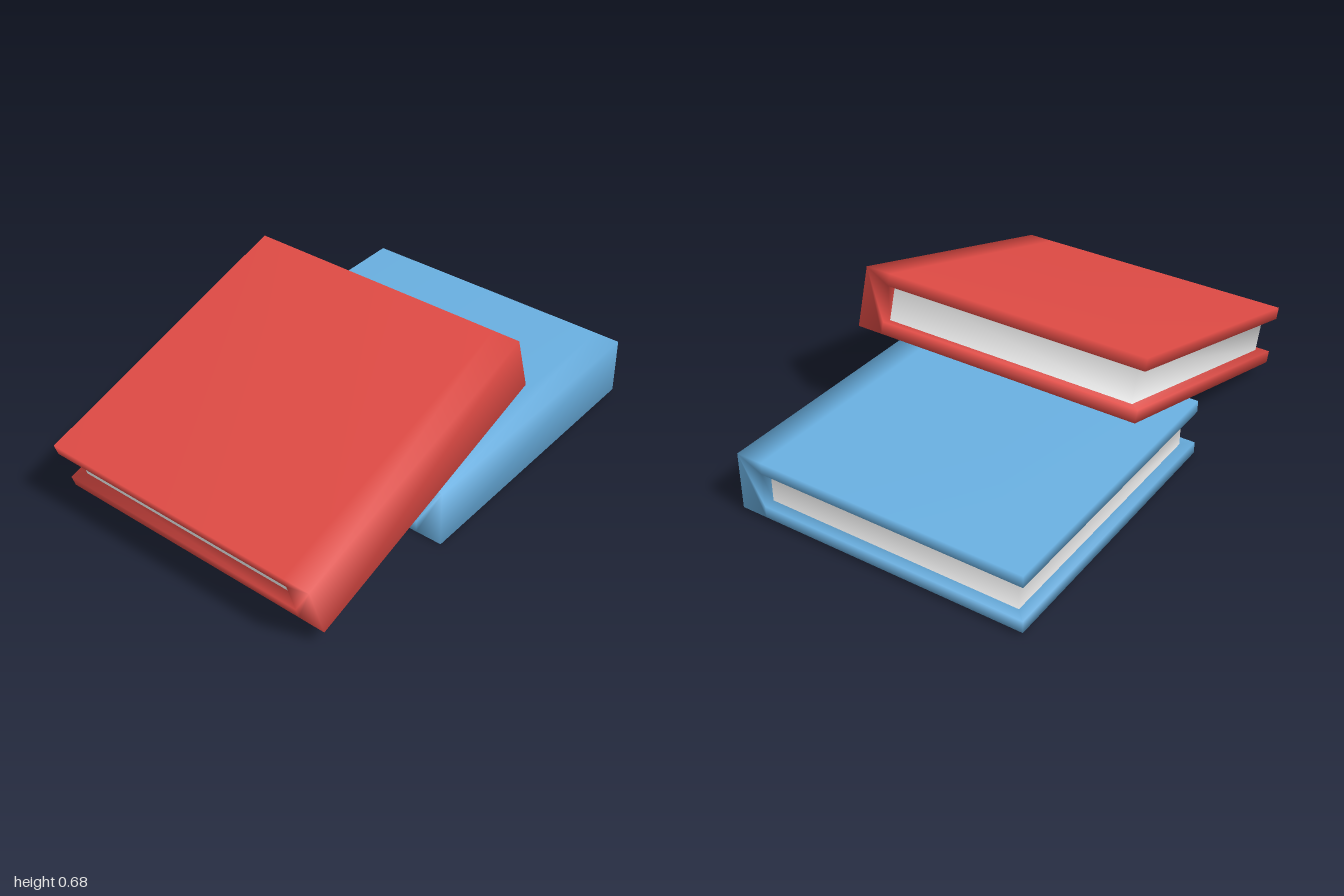
import * as THREE from 'three';
import { mergeVertices } from 'three/addons/utils/BufferGeometryUtils.js';

// Half sizes of the cover, and the inner limits set by the page block
const W = 0.626, H = 0.123, D = 0.626;
const IN = 0.073;             // inner height of the covers
const P = 0.581, Q = -0.581;  // page block side and back
const S = 0.512;              // inner face of the spine

// Closed book with its spine towards +z; group 0 is the cover, group 1 the pages
function bookGeometry() {
  const parts = [[], []];
  const face = (group, pts, mirrorX, mirrorY) => {
    for (const sx of mirrorX ? [1, -1] : [1]) {
      for (const sy of mirrorY ? [1, -1] : [1]) {
        let loop = pts.map(([x, y, z]) => [x * sx, y * sy, z]);
        if (sx * sy < 0) loop = [loop[0], ...loop.slice(1).reverse()];
        for (let i = 1; i < loop.length - 1; i++) {
          parts[group].push(...loop[0], ...loop[i], ...loop[i + 1]);
        }
      }
    }
  };

  // Spine
  face(0, [[-W, -H, D], [W, -H, D], [W, H, D], [-W, H, D]]);
  face(0, [[-W, H, D], [W, H, D], [W, H, S], [-W, H, S]], false, true);
  face(0, [[W, H, D], [W, -H, D], [W, -H, S], [W, -IN, S], [W, IN, S], [W, H, S]], true);
  face(0, [[W, IN, S], [W, -IN, S], [P, -IN, S], [P, IN, S]], true);

  // Boards: outside, side edges, back edge, and the inner rim around the pages
  face(0, [[-W, H, S], [W, H, S], [W, H, -D], [-W, H, -D]], false, true);
  face(0, [[W, H, S], [W, IN, S], [W, IN, -D], [W, H, -D]], true, true);
  face(0, [[W, H, -D], [W, IN, -D], [-W, IN, -D], [-W, H, -D]], false, true);
  face(0, [[W, IN, S], [P, IN, S], [P, IN, Q], [W, IN, -D]], true, true);
  face(0, [[W, IN, -D], [P, IN, Q], [-P, IN, Q], [-W, IN, -D]], false, true);

  // Pages
  face(1, [[P, IN, S], [P, -IN, S], [P, -IN, Q], [P, IN, Q]], true);
  face(1, [[P, IN, Q], [P, -IN, Q], [-P, -IN, Q], [-P, IN, Q]]);

  // Shared corners give soft shading over the whole book
  let geo = new THREE.BufferGeometry();
  geo.setAttribute('position', new THREE.Float32BufferAttribute(parts.flat(), 3));
  geo = mergeVertices(geo);
  geo.computeVertexNormals();
  const coverCount = parts[0].length / 3;
  geo.clearGroups();
  geo.addGroup(0, coverCount, 0);
  geo.addGroup(coverCount, parts[1].length / 3, 1);
  return geo;
}

function material(name, color) {
  const m = new THREE.MeshStandardMaterial({ color });
  m.name = name;
  return m;
}

export function createModel() {
  const model = new THREE.Group();
  model.name = 'books';
  const geo = bookGeometry();
  const paper = material('paper', 0xeeeeee);

  const addBook = (name, cover, x, y, degrees) => {
    const book = new THREE.Mesh(geo, [cover, paper]);
    book.name = name;
    book.position.set(x, y, 0);
    book.rotation.z = THREE.MathUtils.degToRad(degrees);
    model.add(book);
  };

  // Blue book lying almost flat, red book leaning on it
  addBook('lowerBook', material('blue cover', 0x69afe0), 0.372, 0.132, 0.8);
  addBook('leaningBook', material('red cover', 0xe04b45), -0.366, 0.375, 17.4);
  return model;
}
